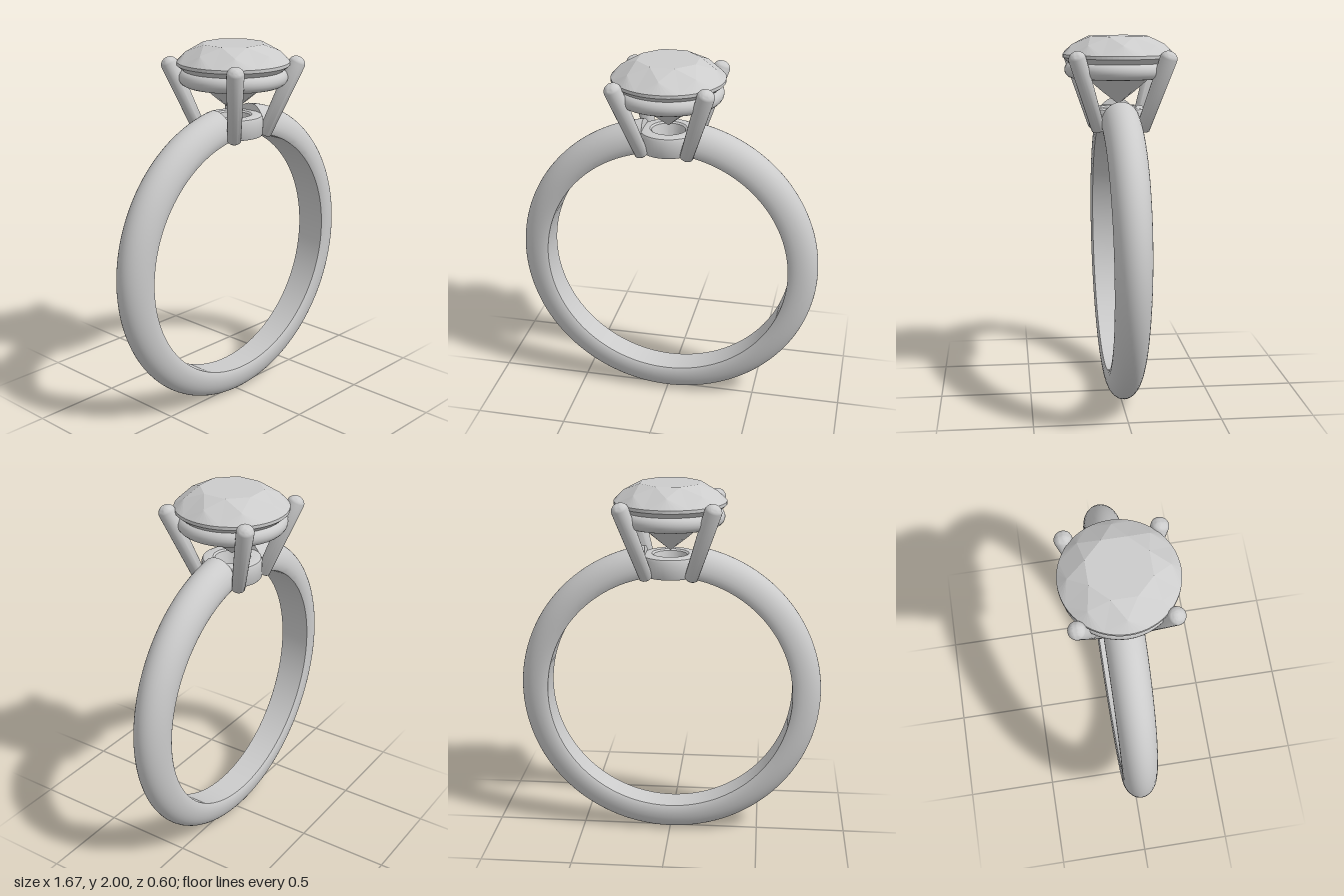
import * as THREE from 'three';
import { toCreasedNormals } from 'three/addons/utils/BufferGeometryUtils.js';

const grey = new THREE.MeshStandardMaterial({ color: 0xcccccc });
const facetGrey = new THREE.MeshStandardMaterial({ color: 0xcccccc, flatShading: true });

function addMesh(parent, name, geometry, material = grey) {
  const mesh = new THREE.Mesh(geometry, material);
  mesh.name = name;
  parent.add(mesh);
  return mesh;
}

// Band: D-shaped section swept round the finger, wider at the top, open under the collar
function bandGeometry() {
  const centreY = 0.835, inner = 0.678, spring = 0.715, outer = 0.835;
  const gap = Math.asin(0.125 / 0.76), steps = 128, dome = 20;
  const section = [[inner, -0.9], [inner + 0.01, -0.96]];
  for (let j = 0; j <= dome; j++) {
    const a = -Math.PI / 2 + (j / dome) * Math.PI;
    section.push([spring + (outer - spring) * Math.cos(a), Math.sin(a)]);
  }
  section.push([inner + 0.01, 0.96], [inner, 0.9]);
  const n = section.length, pos = [], index = [];
  for (let i = 0; i <= steps; i++) {
    const t = gap + (i / steps) * (2 * Math.PI - 2 * gap);
    const half = 0.095 + 0.01 * Math.cos(t);
    for (const [r, w] of section) pos.push(r * Math.sin(t), centreY + r * Math.cos(t), w * half);
  }
  for (let i = 0; i < steps; i++) {
    for (let j = 0; j < n; j++) {
      const a = i * n + j, b = i * n + (j + 1) % n;
      index.push(a, b, a + n, b, b + n, a + n);
    }
  }
  // end caps
  const last = steps * n;
  for (let j = 1; j < n - 1; j++) index.push(0, j + 1, j, last, last + j, last + j + 1);
  const g = new THREE.BufferGeometry();
  g.setAttribute('position', new THREE.Float32BufferAttribute(pos, 3));
  g.setIndex(index);
  // make the winding face outward
  const p = g.attributes.position, v = k => new THREE.Vector3().fromBufferAttribute(p, k);
  const mid = Math.floor(n / 2), o = v(mid);
  const normal = v(mid + 1).sub(o).cross(v(mid + n).sub(o));
  if (normal.dot(new THREE.Vector3(o.x, o.y - centreY, 0)) < 0) g.setIndex(index.reverse());
  return toCreasedNormals(g, 0.6);
}

// Round brilliant: table, star, kite and girdle facets above; mains and halves below
function stoneGeometry() {
  const centre = new THREE.Vector3(0, 1.87, 0), pos = [];
  const at = (r, y, k) => {
    const a = k * Math.PI / 32; // 64 steps per turn
    return new THREE.Vector3(r * Math.cos(a), y, r * Math.sin(a));
  };
  const tri = (a, b, c) => {
    const normal = b.clone().sub(a).cross(c.clone().sub(a));
    const out = a.clone().add(b).add(c).divideScalar(3).sub(centre);
    const order = normal.dot(out) > 0 ? [a, b, c] : [a, c, b];
    for (const v of order) pos.push(v.x, v.y, v.z);
  };
  const girdleR = 0.3, top = 1.905, bottom = 1.888;
  const table = k => at(0.168, 2.0, k);
  const star = k => at(0.25, 1.957, k);
  const upper = k => at(girdleR, top, k);
  const lower = k => at(girdleR, bottom, k);
  const half = k => at(0.09, 1.705, k);
  const tableCentre = new THREE.Vector3(0, 2.0, 0), culet = new THREE.Vector3(0, 1.635, 0);
  for (let s = 0; s < 64; s += 8) {
    tri(tableCentre, table(s - 4), table(s + 4));
    tri(table(s - 4), table(s + 4), star(s));
    tri(table(s + 4), star(s), upper(s + 4));
    tri(table(s + 4), star(s + 8), upper(s + 4));
    tri(culet, half(s), lower(s + 4));
    tri(culet, half(s + 8), lower(s + 4));
    for (let k = s - 4; k < s + 4; k++) {
      tri(star(s), upper(k), upper(k + 1));
      tri(half(s), lower(k), lower(k + 1));
      tri(upper(k), upper(k + 1), lower(k));
      tri(upper(k + 1), lower(k + 1), lower(k));
    }
  }
  const g = new THREE.BufferGeometry();
  g.setAttribute('position', new THREE.Float32BufferAttribute(pos, 3));
  g.computeVertexNormals();
  return g;
}

// Prong: tapered rod with a domed tip, built along +y
function prongGeometry(length) {
  const points = [[0, 0], [0.028, 0], [0.036, 0.008]];
  for (let j = 0; j <= 8; j++) {
    const a = (j / 8) * Math.PI / 2;
    points.push([j === 8 ? 0 : 0.046 * Math.cos(a), length + 0.04 * Math.sin(a)]);
  }
  return toCreasedNormals(new THREE.LatheGeometry(points.map(p => new THREE.Vector2(...p)), 24), 0.8);
}

export function createModel() {
  const ring = new THREE.Group();
  ring.name = 'ring';

  addMesh(ring, 'band', bandGeometry());

  // Collar with a tapered hole at the foot of the setting
  const collar = [[0.155, 1.507], [0.16, 1.515], [0.16, 1.6], [0.154, 1.614], [0.14, 1.62],
    [0.1, 1.62], [0.09, 1.612], [0.065, 1.507], [0.155, 1.507]];
  addMesh(ring, 'collar', toCreasedNormals(
    new THREE.LatheGeometry(collar.map(p => new THREE.Vector2(...p)), 48), 0.6));

  // Gallery rail under the stone
  const rail = addMesh(ring, 'galleryRail', new THREE.TorusGeometry(0.247, 0.044, 20, 72));
  rail.rotation.x = Math.PI / 2;
  rail.position.y = 1.822;

  // Four prongs leaning outward
  const prongs = new THREE.Group();
  prongs.name = 'prongs';
  ring.add(prongs);
  for (const [side, sx] of [['Left', 1], ['Right', -1]]) {
    for (const [end, sz] of [['front', 1], ['back', -1]]) {
      const foot = new THREE.Vector3(0.118 * sx, 1.505, 0.118 * sz);
      const axis = new THREE.Vector3(0.238 * sx, 1.89, 0.238 * sz).sub(foot);
      const prong = addMesh(prongs, `${end}${side}Prong`, prongGeometry(axis.length()));
      prong.position.copy(foot);
      prong.quaternion.setFromUnitVectors(new THREE.Vector3(0, 1, 0), axis.normalize());
    }
  }

  addMesh(ring, 'stone', stoneGeometry(), facetGrey);
  return ring;
}
